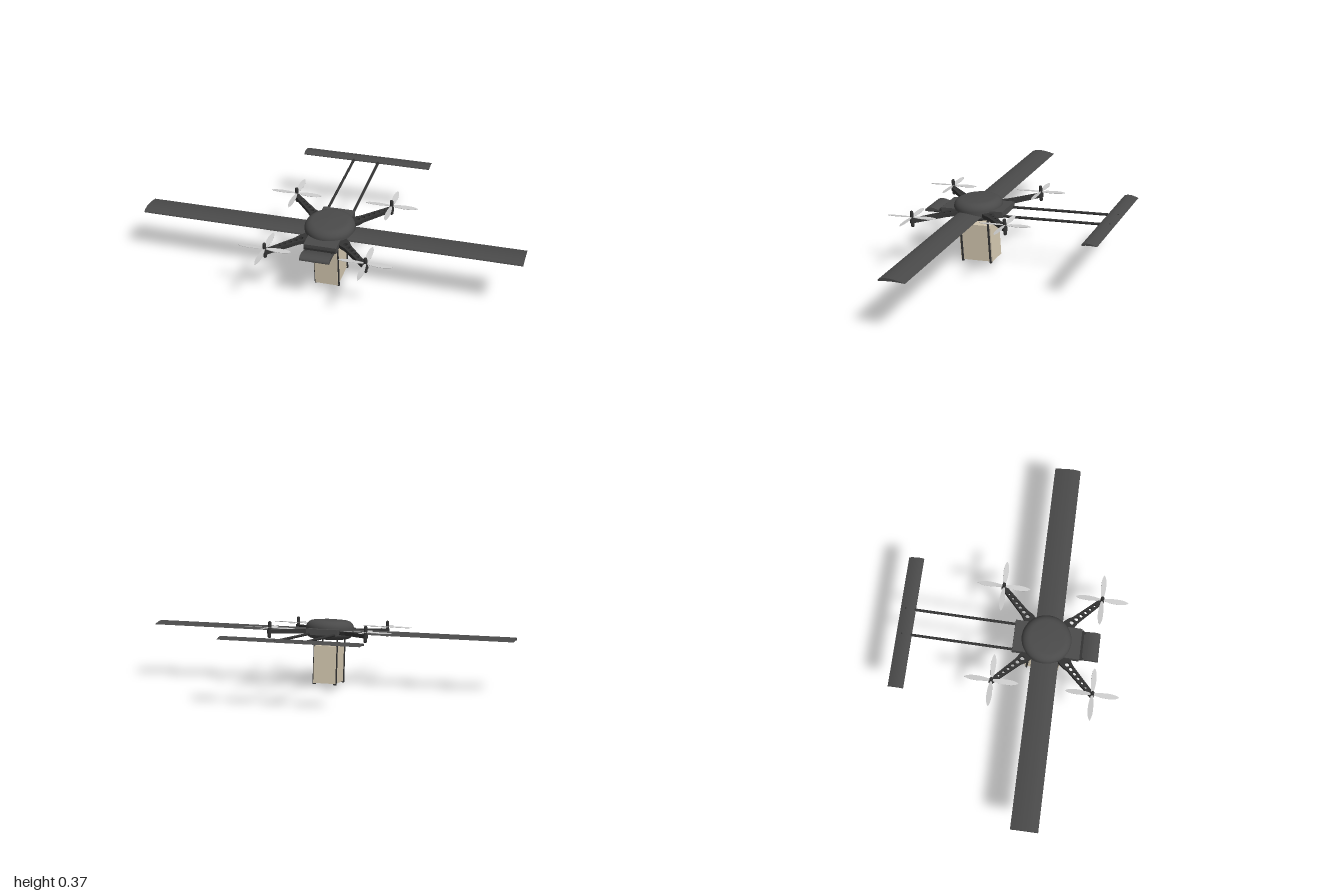
import * as THREE from 'three';

const mat = (color) => new THREE.MeshStandardMaterial({ color });
const dark = mat(0x4a4a4a), black = mat(0x333333), tan = mat(0xd4c8b0), pale = mat(0xcccccc);

function add(parent, name, geometry, material, x = 0, y = 0, z = 0) {
  const mesh = new THREE.Mesh(geometry, material);
  mesh.name = name;
  mesh.position.set(x, y, z);
  parent.add(mesh);
  return mesh;
}

// Thin cambered aerofoil, leading edge towards +z, centred on its span
function foil(span, chord, thick) {
  const c = chord / 2, s = new THREE.Shape();
  s.moveTo(c, -thick * 0.5);
  s.bezierCurveTo(c * 0.3, thick * 0.35, -c * 0.3, thick * 0.7, -c * 0.75, thick * 0.3);
  s.quadraticCurveTo(-c, thick * 0.1, -c, -thick * 0.3);
  s.quadraticCurveTo(-c * 0.95, -thick * 0.5, -c * 0.7, -thick * 0.4);
  s.quadraticCurveTo(0, -thick * 0.1, c, -thick * 0.5);
  const g = new THREE.ExtrudeGeometry(s, { depth: span, bevelEnabled: false, curveSegments: 10 });
  return g.translate(0, 0, -span / 2).rotateY(Math.PI / 2);
}

// Rounded disc shell of the main body
function hullGeometry() {
  const p = [new THREE.Vector2(0, -0.052), new THREE.Vector2(0.085, -0.052)];
  for (let i = 0; i <= 8; i++) {
    const a = -Math.PI / 2 + (i / 8) * (Math.PI / 2);
    p.push(new THREE.Vector2(0.09 + 0.04 * Math.cos(a), -0.01 + 0.04 * Math.sin(a)));
  }
  for (let i = 0; i <= 8; i++) {
    const a = (i / 8) * (Math.PI / 2);
    p.push(new THREE.Vector2(0.085 + 0.045 * Math.cos(a), 0.01 + 0.04 * Math.sin(a)));
  }
  p.push(new THREE.Vector2(0.04, 0.054), new THREE.Vector2(0, 0.055));
  return new THREE.LatheGeometry(p, 40);
}

// Tapered arm plate with lightening holes, running along +x
function armGeometry() {
  const s = new THREE.Shape();
  s.moveTo(0.08, -0.03);
  s.lineTo(0.16, -0.028);
  s.lineTo(0.19, -0.02);
  s.lineTo(0.365, -0.013);
  s.absarc(0.368, 0, 0.013, -Math.PI / 2, Math.PI / 2, false);
  s.lineTo(0.19, 0.02);
  s.lineTo(0.16, 0.028);
  s.lineTo(0.08, 0.03);
  for (let i = 0; i < 6; i++) {
    const h = new THREE.Path();
    h.absarc(0.165 + i * 0.031, 0, 0.012 - i * 0.0011, 0, Math.PI * 2, true);
    s.holes.push(h);
  }
  const g = new THREE.ExtrudeGeometry(s, { depth: 0.02, bevelEnabled: false, curveSegments: 10 });
  return g.rotateX(-Math.PI / 2).translate(0, -0.02, 0);
}

// Leaf-shaped propeller blade along +x, slightly pitched
function bladeGeometry() {
  const s = new THREE.Shape();
  s.moveTo(0.005, -0.004);
  s.bezierCurveTo(0.05, -0.018, 0.12, -0.02, 0.14, 0);
  s.bezierCurveTo(0.12, 0.018, 0.05, 0.016, 0.005, 0.004);
  const g = new THREE.ExtrudeGeometry(s, { depth: 0.002, bevelEnabled: false, curveSegments: 10 });
  return g.translate(0, 0, -0.001).rotateX(-Math.PI / 2 + 0.15);
}

function rotor() {
  const group = new THREE.Group();
  group.name = 'rotor';
  add(group, 'motor', new THREE.CapsuleGeometry(0.009, 0.072, 6, 14), black);
  add(group, 'motorCollar', new THREE.CylinderGeometry(0.013, 0.013, 0.018, 16), black, 0, -0.01, 0);
  const blade = bladeGeometry();
  for (let i = 0; i < 4; i++) {
    add(group, 'propellerBlade', blade, pale, 0, 0.011, 0).rotation.y = Math.PI / 4 + i * Math.PI / 2;
  }
  return group;
}

export function createModel() {
  const model = new THREE.Group();
  model.name = 'deliveryDrone';

  // Whole craft flies slightly nose down and banked
  const craft = new THREE.Group();
  craft.name = 'craft';
  craft.position.set(0, 0.302, 0.2);
  craft.rotation.set(0.07, 0, 0.012);
  model.add(craft);

  // Body and central frame
  add(craft, 'bodyShell', hullGeometry(), dark);
  add(craft, 'framePlate', new THREE.BoxGeometry(0.17, 0.032, 0.35), dark, 0, -0.008, 0.005);
  add(craft, 'frontRail', new THREE.BoxGeometry(0.16, 0.012, 0.012), black, 0, -0.008, 0.187);

  // Lifting surfaces
  add(craft, 'mainWing', foil(2, 0.14, 0.02), dark, 0, -0.007, 0.006);
  add(craft, 'noseFoil', foil(0.155, 0.1, 0.024), dark, 0, -0.012, 0.23);
  add(craft, 'tailPlane', foil(0.72, 0.08, 0.015), dark, 0, -0.016, -0.733);

  // Tail booms
  for (const side of [-1, 1]) {
    const boom = new THREE.CylinderGeometry(0.007, 0.007, 1.02, 12).rotateX(Math.PI / 2);
    add(craft, 'tailBoom', boom, black, side * 0.07, -0.019, -0.24);
  }

  // Four arms with rotors
  const arm = armGeometry();
  for (let i = 0; i < 4; i++) {
    const a = Math.PI / 4 + (i * Math.PI) / 2;
    add(craft, 'arm', arm, black, 0, 0, 0.005).rotation.y = a;
    const r = rotor();
    r.position.set(0.368 * Math.cos(a), 0, 0.005 - 0.368 * Math.sin(a));
    r.rotation.y = a;
    craft.add(r);
  }

  // Parcel held by four hanging struts with foot hooks
  add(craft, 'parcel', new THREE.BoxGeometry(0.122, 0.202, 0.182), tan, 0, -0.187, 0.006);
  for (const x of [-1, 1]) {
    for (const z of [-1, 1]) {
      add(craft, 'strut', new THREE.BoxGeometry(0.007, 0.26, 0.01), black, x * 0.063, -0.166, 0.006 + z * 0.08);
      add(craft, 'strutFoot', new THREE.BoxGeometry(0.018, 0.006, 0.01), black, x * 0.0575, -0.292, 0.006 + z * 0.08);
    }
  }
  return model;
}
